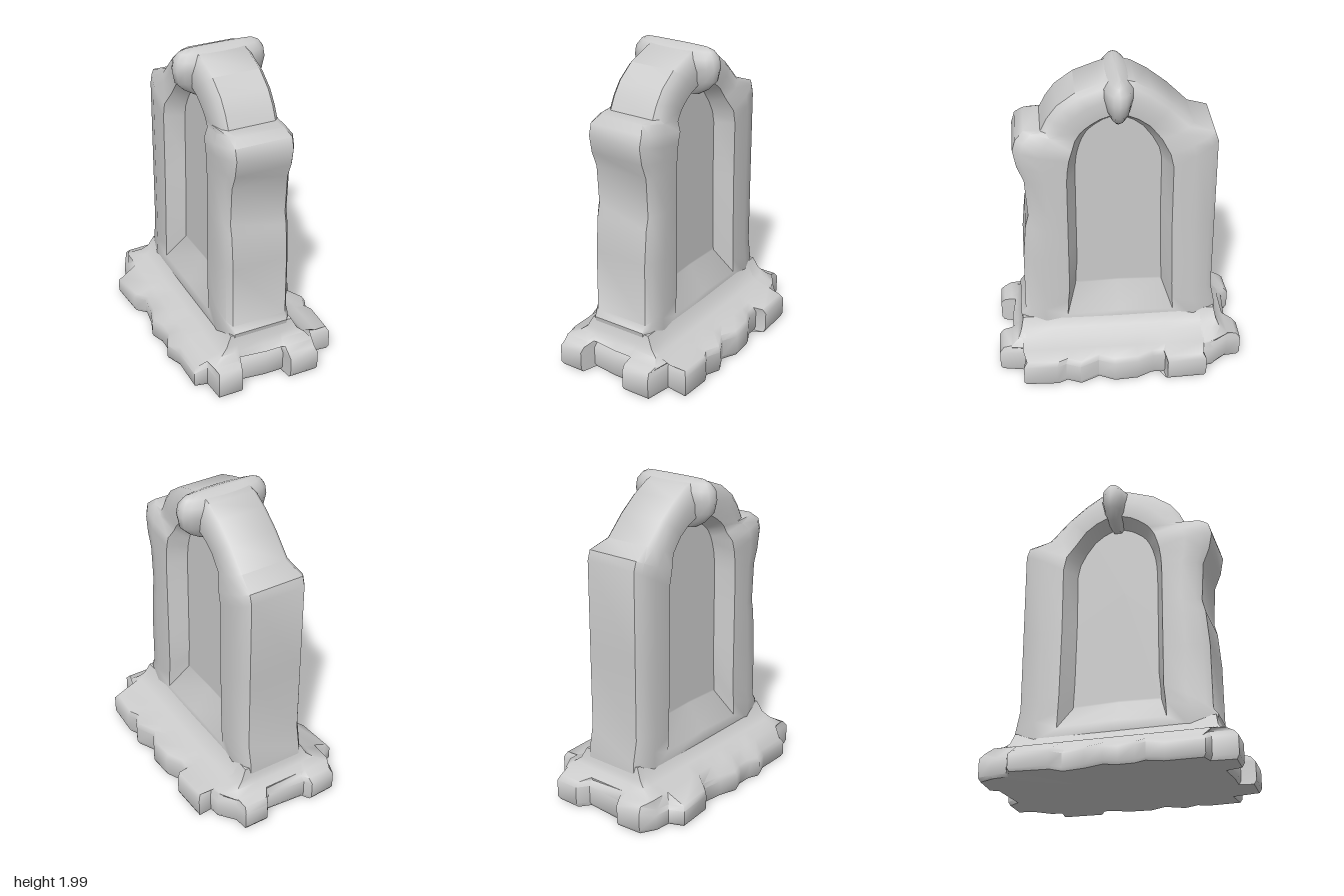
import * as THREE from 'three';
import { toCreasedNormals } from 'three/addons/utils/BufferGeometryUtils.js';

const material = new THREE.MeshStandardMaterial({ color: 0xcccccc });

// Skin a stack of closed rings (arrays of [x, y, z]) and close both ends with fans.
function loft(name, rings, crease) {
  const n = rings[0].length, pos = rings.flat(2), index = [];
  for (let r = 0; r < rings.length - 1; r++) {
    for (let i = 0; i < n; i++) {
      const j = (i + 1) % n, a = r * n, b = a + n;
      index.push(a + i, b + i, a + j, a + j, b + i, b + j);
    }
  }
  [0, rings.length - 1].forEach((r, end) => {
    const c = pos.length / 3, a = r * n;
    for (let k = 0; k < 3; k++) pos.push(rings[r].reduce((s, p) => s + p[k], 0) / n);
    for (let i = 0; i < n; i++) {
      const j = (i + 1) % n;
      index.push(c, a + (end ? j : i), a + (end ? i : j));
    }
  });
  const geo = new THREE.BufferGeometry();
  geo.setAttribute('position', new THREE.Float32BufferAttribute(pos, 3));
  geo.setIndex(index);
  const mesh = new THREE.Mesh(toCreasedNormals(geo, crease), material);
  mesh.name = name;
  return mesh;
}

// Worn arch outline paired with the lip of the niche: [outer z, outer y, lip z, lip y]
const arch = [
  [0.6, 0.2, 0.33, 0.35], [0.63, 0.35, 0.325, 0.45], [0.6, 0.39, 0.315, 0.55],
  [0.595, 0.8, 0.315, 0.8], [0.575, 1.02, 0.315, 1.0], [0.555, 1.1, 0.315, 1.1],
  [0.57, 1.35, 0.315, 1.35], [0.61, 1.45, 0.31, 1.42], [0.63, 1.56, 0.3, 1.49],
  [0.61, 1.63, 0.28, 1.56], [0.56, 1.675, 0.26, 1.61], [0.46, 1.67, 0.23, 1.66],
  [0.42, 1.75, 0.2, 1.69], [0.36, 1.83, 0.16, 1.72], [0.25, 1.91, 0.11, 1.75],
  [0.1, 1.965, 0.05, 1.77], [0, 1.993, 0, 1.775], [-0.1, 1.965, -0.05, 1.77],
  [-0.2, 1.905, -0.12, 1.74], [-0.32, 1.81, -0.19, 1.69], [-0.45, 1.68, -0.26, 1.6],
  [-0.58, 1.63, -0.31, 1.51], [-0.6, 1.57, -0.33, 1.42], [-0.6, 1.0, -0.33, 1.0],
  [-0.6, 0.5, -0.34, 0.55], [-0.63, 0.35, -0.345, 0.45], [-0.63, 0.2, -0.35, 0.35],
  [0, 0.2, 0, 0.36],
];

// Upright slab: outer edge, rounded bevel, frame, sloping reveal and sunken panel on each side
function makeSlab() {
  const ring = (side, s, narrow) => arch.map(([oz, oy, lz, ly]) => {
    const wide = oy > 1.64 ? 0.2 : 0.23;
    return [side * (wide - narrow), oy + (ly - oy) * s, oz + (lz - oz) * s];
  });
  const panel = (side, k) => arch.map(([, , lz, ly]) =>
    [side * 0.1, 1.1 + (ly - 1.043) * 0.85 * k, lz * 0.82 * k]);
  const half = side => [
    panel(side, 0.98), panel(side, 1), ring(side, 1, 0.01), ring(side, 0.5, 0),
    ring(side, 0.14, 0.022), ring(side, 0, 0.05),
  ];
  const slab = loft('archedSlab', [...half(-1), ...half(1).reverse()], 0.8);
  slab.position.x = -0.006;
  return slab;
}

// Irregular outline of the base stones: [x, z]
const outline = [
  [0.32, 0.78], [0.13, 0.78], [0.12, 0.69], [0, 0.69], [-0.17, 0.67], [-0.2, 0.77],
  [-0.36, 0.77], [-0.37, 0.62], [-0.45, 0.6], [-0.45, 0.37], [-0.49, 0.27], [-0.46, 0.2],
  [-0.46, 0.1], [-0.49, 0.02], [-0.45, -0.1], [-0.43, -0.24], [-0.49, -0.3], [-0.51, -0.54],
  [-0.42, -0.58], [-0.41, -0.68], [-0.36, -0.78], [-0.19, -0.79], [-0.16, -0.74], [0.1, -0.72],
  [0.15, -0.79], [0.31, -0.79], [0.32, -0.7], [0.4, -0.6], [0.41, -0.53], [0.5, -0.54],
  [0.51, -0.29], [0.44, -0.28], [0.44, -0.2], [0.49, -0.1], [0.5, 0.05], [0.45, 0.15],
  [0.51, 0.27], [0.47, 0.36], [0.5, 0.42], [0.49, 0.63], [0.35, 0.61],
];

// Base: low stones, worn down along the right edge, ramping up to the foot of the slab
function makeBase() {
  const clamp = THREE.MathUtils.clamp;
  const scaled = (y, k) => outline.map(([x, z]) => [x * k, x < -0.4 ? y * 0.75 : y, z * k]);
  const clamped = (y, hx, hz) => outline.map(([x, z]) => [clamp(x, -hx, hx), y, clamp(z, -hz, hz)]);
  return loft('stoneBase', [
    scaled(0.01, 0.98), scaled(0.035, 1), scaled(0.15, 1), scaled(0.182, 0.965),
    clamped(0.2, 0.38, 0.7), clamped(0.235, 0.29, 0.655), clamped(0.27, 0.245, 0.635),
    clamped(0.34, 0.21, 0.62),
  ], 0.95);
}

// Keystone: bulging block that crosses the crown of the arch
function makeKeystone() {
  const levels = [
    [1.7, 0.16, 0.03], [1.74, 0.225, 0.055], [1.8, 0.285, 0.08], [1.88, 0.3, 0.1],
    [1.94, 0.29, 0.1], [1.98, 0.26, 0.06], [2.0, 0.22, 0.015],
  ];
  const round = v => Math.sign(v) * Math.abs(v) ** 0.85;
  return loft('keystone', levels.map(([y, hx, hz]) =>
    Array.from({ length: 20 }, (_, i) => {
      const a = i / 20 * Math.PI * 2;
      return [hx * round(Math.cos(a)), y, hz * round(Math.sin(a))];
    })), 0.95);
}

export function createModel() {
  const group = new THREE.Group();
  group.name = 'archedStone';
  group.add(makeBase(), makeSlab(), makeKeystone());
  return group;
}
